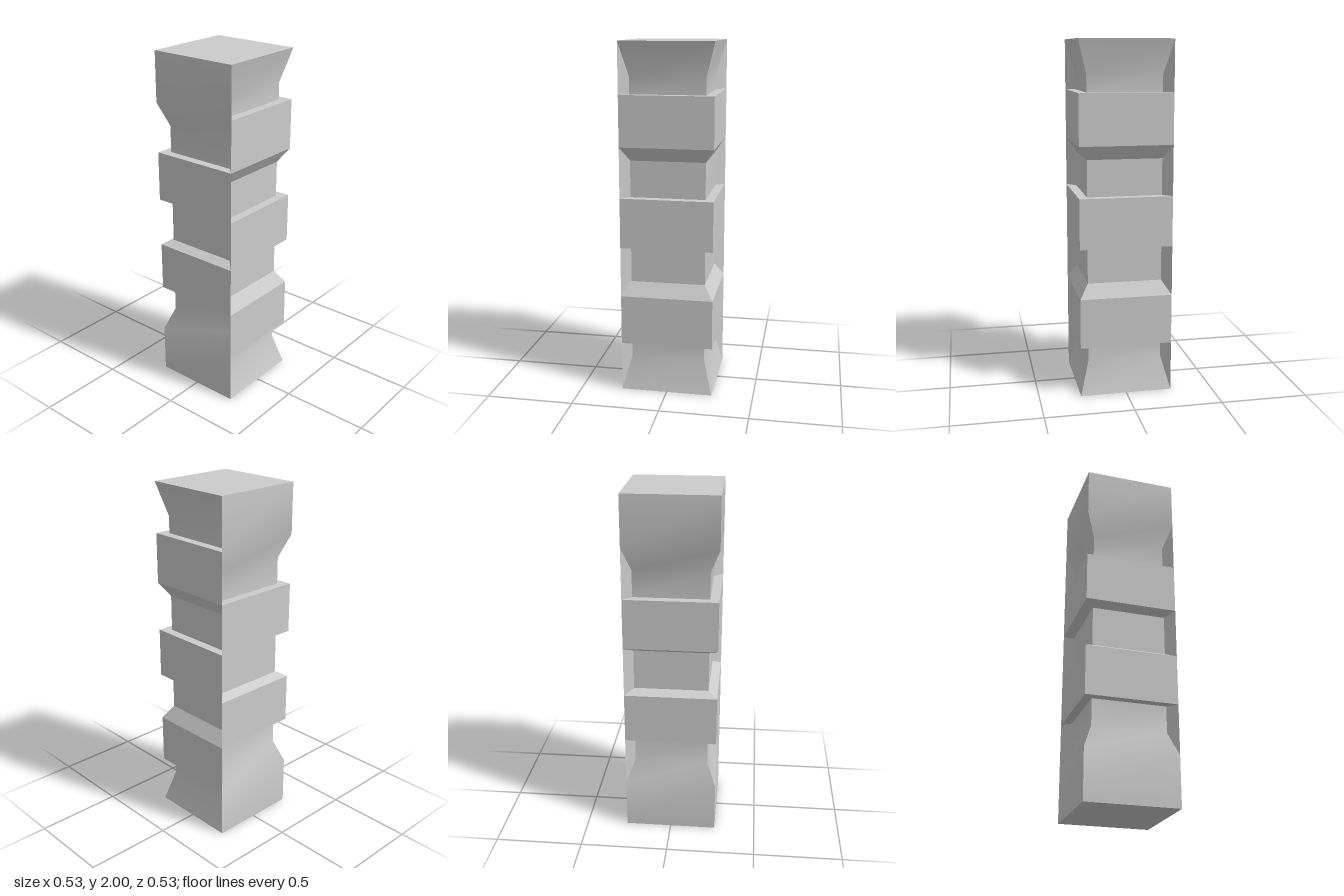
import * as THREE from 'three';
import { toCreasedNormals } from 'three/addons/utils/BufferGeometryUtils.js';

const OUT = 0.263; // half width of the raised bands
const IN = 0.212;  // half width of the recessed core
const BAND = 2 / 7; // height of one band

// [distance from axis, height] for the lower half; the upper half mirrors it
const mirrored = (half) => [...half, ...half.map(([d, y]) => [d, 2 - y]).reverse()];

const evenProfile = mirrored([
  [OUT, 0], [OUT, BAND], [IN, 0.42], [IN, 2 * BAND],
  [OUT, 2 * BAND], [OUT, 3 * BAND], [IN, 0.885],
]);
const oddProfile = mirrored([
  [OUT, 0], [IN, 0.19], [IN, BAND], [OUT, BAND], [OUT, 2 * BAND],
  [IN, 0.65], [IN, 3 * BAND], [OUT, 3 * BAND],
]);

// One side of the column: a face as wide as it is far out, closed along one diagonal corner
function sidePanel(profile, openSide) {
  const pos = [];
  const quad = (a, b, c, d) => pos.push(...a, ...b, ...c, ...a, ...c, ...d);
  for (let i = 0; i < profile.length - 1; i++) {
    const [d0, y0] = profile[i];
    const [d1, y1] = profile[i + 1];
    quad([-d0, y0, d0], [d0, y0, d0], [d1, y1, d1], [-d1, y1, d1]);
    if (y0 === y1 || (d0 === IN && d1 === IN)) continue;
    const s = openSide;
    const outer = [[s * d0, y0, d0], [s * d1, y1, d1]];
    const inner = [[s * IN, y0, IN], [s * IN, y1, IN]];
    const [l, r] = s > 0 ? [outer, inner] : [inner, outer];
    quad(l[0], r[0], r[1], l[1]);
  }
  const geo = new THREE.BufferGeometry();
  geo.setAttribute('position', new THREE.Float32BufferAttribute(pos, 3));
  return toCreasedNormals(geo, THREE.MathUtils.degToRad(27));
}

export function createModel() {
  const group = new THREE.Group();
  group.name = 'notchedColumn';
  const material = new THREE.MeshStandardMaterial({ color: 0xcccccc });
  const add = (name, geo) => {
    const mesh = new THREE.Mesh(geo, material);
    mesh.name = name;
    group.add(mesh);
    return mesh;
  };

  // Front and left share one rhythm of bands, right and back the opposite one
  const sides = [
    ['frontSide', evenProfile, 1, 0],
    ['leftwardSide', oddProfile, -1, 1],
    ['backSide', oddProfile, 1, 2],
    ['rightwardSide', evenProfile, -1, 3],
  ];
  for (const [name, profile, open, turn] of sides) {
    add(name, sidePanel(profile, open)).rotation.y = turn * Math.PI / 2;
  }

  // Square end caps
  for (const [name, y, tilt] of [['topCap', 2, -1], ['bottomCap', 0, 1]]) {
    const cap = add(name, new THREE.PlaneGeometry(2 * OUT, 2 * OUT));
    cap.rotation.x = tilt * Math.PI / 2;
    cap.position.y = y;
  }
  return group;
}
